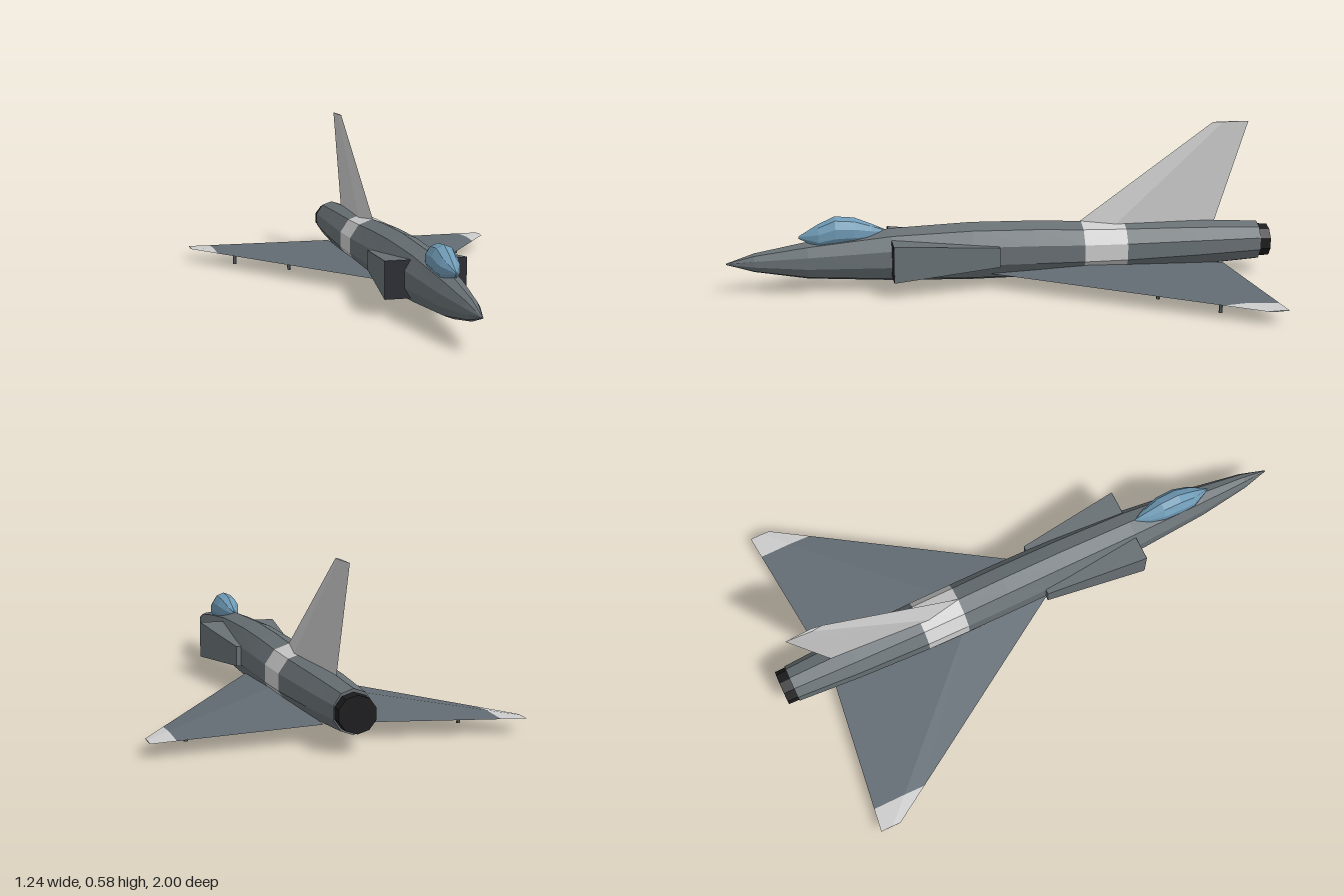
import * as THREE from 'three';

const paint = (color) => new THREE.MeshStandardMaterial({ color, flatShading: true });
const GREY = paint(0x687074);
const WING = paint(0x626c73);
const LIGHT = paint(0xc8c6c4);
const BLACK = paint(0x1c1c1e);
const DARK = paint(0x2c2c34);
const GLASS = paint(0x6f9ab5);

// Closed skin through equal-length rings of [x, y, z] points, with end caps.
function loft(rings) {
  const n = rings[0].length;
  const tris = [];
  for (let i = 0; i < rings.length - 1; i++) {
    for (let j = 0; j < n; j++) {
      const k = (j + 1) % n;
      const [a, b, c, d] = [rings[i][j], rings[i][k], rings[i + 1][j], rings[i + 1][k]];
      tris.push([a, c, b], [b, c, d]);
    }
  }
  const last = rings[rings.length - 1];
  for (let j = 1; j < n - 1; j++) {
    tris.push([rings[0][0], rings[0][j], rings[0][j + 1]], [last[0], last[j + 1], last[j]]);
  }
  // A negative enclosed volume means the faces point inward, so turn them round
  let volume = 0;
  const [u, v, w] = [new THREE.Vector3(), new THREE.Vector3(), new THREE.Vector3()];
  for (const [a, b, c] of tris) {
    volume += u.set(...a).dot(v.set(...b).cross(w.set(...c)));
  }
  if (volume < 0) tris.forEach((t) => t.reverse());
  const geometry = new THREE.BufferGeometry();
  geometry.setAttribute('position', new THREE.Float32BufferAttribute(tris.flat(2), 3));
  geometry.computeVertexNormals();
  return geometry;
}

// Ten-sided upright ring from [z, radius across, top, bottom]
function ring([z, r, top, bottom]) {
  const points = [];
  for (let i = 0; i < 10; i++) {
    const a = (i / 10) * Math.PI * 2;
    points.push([-Math.sin(a) * r, (top + bottom) / 2 + (Math.cos(a) * (top - bottom)) / 2, z]);
  }
  return points;
}

export function createModel() {
  const model = new THREE.Group();
  model.name = 'deltaWingJet';
  const add = (name, geometry, material) => {
    const mesh = new THREE.Mesh(geometry, material);
    mesh.name = name;
    model.add(mesh);
    return mesh;
  };

  // Fuselage with a light band and a black nozzle
  const bandFront = [-0.29, 0.093, 0.223, 0.022];
  const bandRear = [-0.45, 0.092, 0.218, 0.025];
  add('frontFuselage', loft([
    [1.0, 0.002, 0.118, 0.114],
    [0.9, 0.028, 0.152, 0.083],
    [0.71, 0.055, 0.187, 0.05],
    [0.41, 0.081, 0.225, 0.03],
    [0.12, 0.09, 0.236, 0.02],
    [-0.11, 0.093, 0.232, 0.02],
    bandFront,
  ].map(ring)), GREY);
  add('fuselageBand', loft([bandFront, bandRear].map(ring)), LIGHT);
  add('rearFuselage', loft([
    bandRear,
    [-0.72, 0.083, 0.21, 0.036],
    [-0.96, 0.068, 0.197, 0.051],
  ].map(ring)), GREY);
  add('nozzle', loft([
    [-0.95, 0.065, 0.187, 0.06],
    [-1.0, 0.064, 0.184, 0.062],
  ].map(ring)), BLACK);

  // Canopy
  add('canopy', loft([
    [0.74, 0.002, 0.208, 0.2],
    [0.67, 0.038, 0.25, 0.16],
    [0.61, 0.046, 0.277, 0.165],
    [0.54, 0.044, 0.27, 0.17],
    [0.48, 0.026, 0.245, 0.18],
    [0.43, 0.002, 0.222, 0.2],
  ].map(ring)), GLASS);

  // Tail fin: diamond sections from [y, front z, rear z, half thickness]
  const finSection = ([y, front, rear, t]) => {
    const mid = front + (rear - front) * 0.28;
    return [[0, y, front], [t, y, mid], [0, y, rear], [-t, y, mid]];
  };
  add('tailFin', loft([
    [0.19, -0.24, -0.792, 0.023],
    [0.578, -0.78, -0.915, 0.005],
  ].map(finSection)), LIGHT);

  for (const [side, s] of [['left', 1], ['right', -1]]) {
    // Delta wing: thin diamond sections, with a light tip
    const wingSection = (x) => {
      const t = (x - 0.05) / 0.57;
      const lead = 0.075 - 0.885 * t;
      const trail = -0.82 - 0.065 * t;
      const mid = lead + (trail - lead) * 0.4;
      const edge = 0.056 - 0.009 * t;
      return [
        [s * x, edge, lead],
        [s * x, 0.077 - 0.028 * t, mid],
        [s * x, edge, trail],
        [s * x, 0.036 + 0.009 * t, mid],
      ];
    };
    add(`${side}Wing`, loft([wingSection(0.05), wingSection(0.535)]), WING);
    add(`${side}WingTip`, loft([wingSection(0.535), wingSection(0.62)]), LIGHT);

    // Side intake tapering back into the fuselage, with a dark mouth
    const box = (z, inner, outer, low, high) => [
      [s * inner, low, z], [s * outer, low, z], [s * outer, high, z], [s * inner, high, z],
    ];
    add(`${side}Intake`, loft([
      box(0.41, 0.04, 0.146, 0.06, 0.194),
      box(0.025, 0.04, 0.104, 0.09, 0.162),
    ]), GREY);
    add(`${side}IntakeMouth`, loft([
      box(0.412, 0.04, 0.145, 0.061, 0.193),
      box(0.405, 0.04, 0.145, 0.061, 0.193),
    ]), DARK);

    // Small pegs under the wing
    for (const [name, x, z] of [['Inner', 0.28, -0.515], ['Outer', 0.465, -0.69]]) {
      const peg = add(`${side}${name}Peg`, new THREE.CylinderGeometry(0.007, 0.007, 0.046, 8), GREY);
      peg.position.set(s * x, 0.023, z);
    }
  }
  return model;
}
